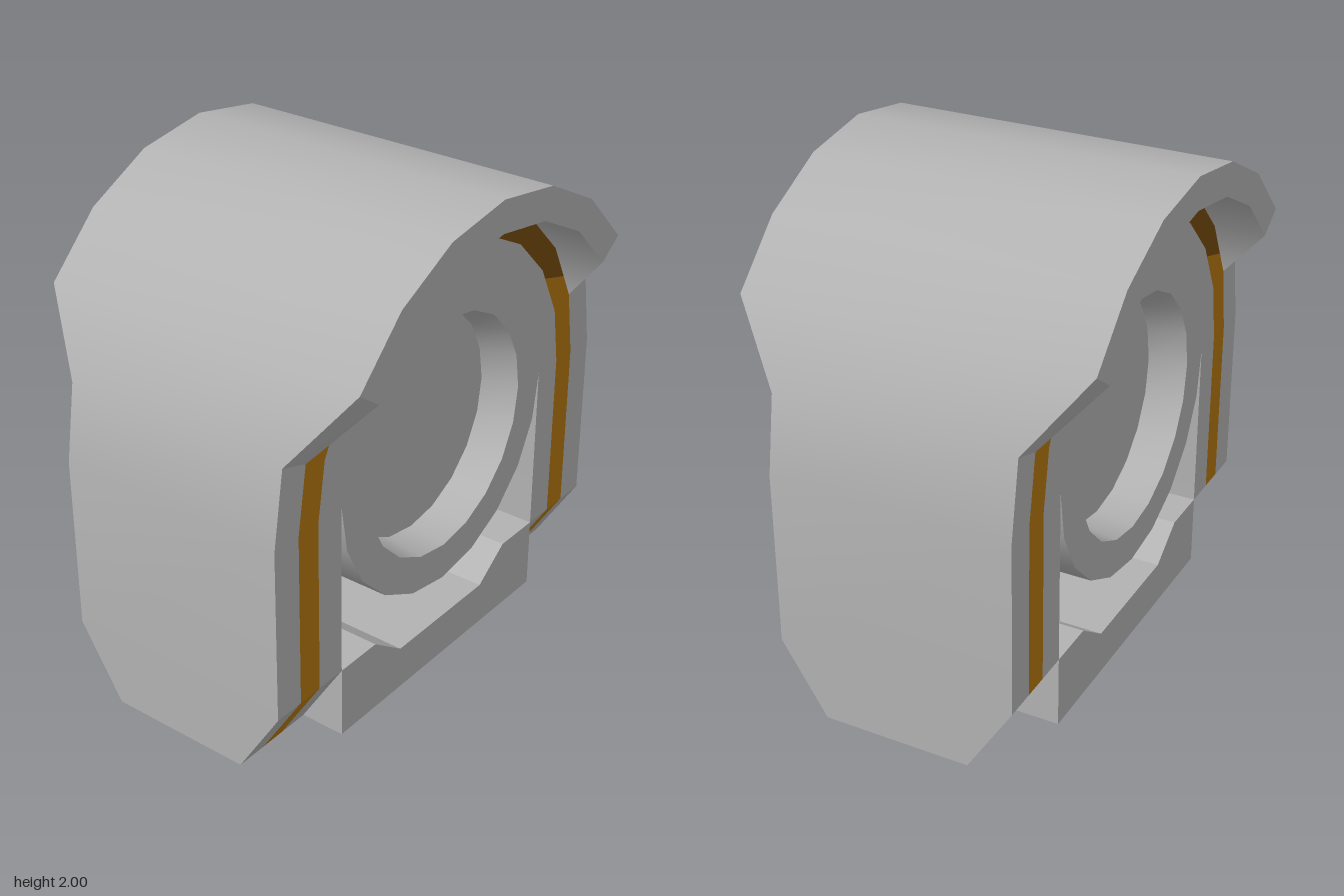
import * as THREE from 'three';
import { toCreasedNormals } from 'three/addons/utils/BufferGeometryUtils.js';

const STEP = 18;        // arch facet in degrees
const DEPTH = 0.485;    // half depth of the body
const HOOD = 0.695;     // half depth of the hood
const FOOT = 0.30;      // half depth at the bottom of the legs
const R = { outer: 1, stripeOut: 0.872, stripeIn: 0.765, core: 0.635 };

// Point on the faceted arch at any angle, centred on (0, 1)
function archPoint(r, deg) {
  const k = Math.floor(deg / STEP + 1e-6), t = deg / STEP - k;
  const at = i => new THREE.Vector2(Math.cos(i * STEP * Math.PI / 180), Math.sin(i * STEP * Math.PI / 180));
  const p = at(k).lerp(at(k + 1), t).multiplyScalar(r);
  p.y += 1;
  return p;
}

// Sweeps a rectangular section through stations { outer, inner, y, z }
function band(rOut, rIn, stations) {
  const pos = [], idx = [];
  for (const s of stations) {
    const o = archPoint(rOut, s.outer), n = archPoint(rIn, s.inner);
    if (s.y !== undefined) o.y = n.y = s.y;
    pos.push(o.x, o.y, s.z, o.x, o.y, -s.z, n.x, n.y, -s.z, n.x, n.y, s.z);
  }
  const last = (stations.length - 1) * 4;
  for (let i = 0; i < last; i += 4) {
    for (let j = 0; j < 4; j++) {
      const a = i + j, b = i + (j + 1) % 4;
      idx.push(a, b, b + 4, a, b + 4, a + 4);
    }
  }
  idx.push(2, 1, 0, 3, 2, 0, last, last + 1, last + 2, last, last + 2, last + 3);
  const g = new THREE.BufferGeometry();
  g.setAttribute('position', new THREE.Float32BufferAttribute(pos, 3));
  g.setIndex(idx);
  return toCreasedNormals(g, 0.4);
}

const station = (a, z = DEPTH, y) => ({ outer: a, inner: a, z, y });
const rightLeg = [station(0, FOOT, 0), station(0, DEPTH, 0.295), station(0)];
const leftLeg = [station(180), station(180, DEPTH, 0.295), station(180, FOOT, 0)];

// Stations for the facets between two angles
function arc(from, to, depthAt = () => DEPTH) {
  const list = [];
  for (let a = from; a <= to; a += STEP) list.push(station(a, depthAt(a)));
  return list;
}

export function createModel() {
  const model = new THREE.Group();
  const grey = new THREE.MeshStandardMaterial({ name: 'grey', color: 0xb2b2b2 });
  const orange = new THREE.MeshStandardMaterial({ name: 'orange', color: 0xb47710 });
  const darkOrange = new THREE.MeshStandardMaterial({ name: 'darkOrange', color: 0x74490c });
  const add = (name, geometry, material) => {
    const mesh = new THREE.Mesh(geometry, material);
    mesh.name = name;
    model.add(mesh);
    return mesh;
  };

  // Outer shell, which overhangs front and back as a hood
  const hoodDepth = a => (a >= 36 && a <= 144 ? HOOD : DEPTH);
  add('outerShell', band(R.outer, R.stripeOut, [...rightLeg, ...arc(18, 162, hoodDepth), ...leftLeg]), grey);

  // Inner shell and legs
  add('innerShell', band(R.stripeIn, R.core, [...rightLeg, ...arc(18, 162), ...leftLeg]), grey);

  // Stripe: bright on the sides, dark under the hood
  const endRight = { outer: 25.2, inner: 32.4, z: DEPTH };
  const endLeft = { outer: 154.8, inner: 147.6, z: DEPTH };
  add('leftStripe', band(R.stripeOut, R.stripeIn, [...rightLeg, station(18), endRight]), orange);
  add('rightStripe', band(R.stripeOut, R.stripeIn, [endLeft, station(162), ...leftLeg]), orange);
  add('hoodStripe', band(R.stripeOut, R.stripeIn, [endRight, ...arc(36, 144), endLeft]), darkOrange);

  // Round core with a shallow dish in both ends
  const profile = [
    [0, -0.33], [0.46, -0.33], [0.485, -DEPTH], [R.core, -DEPTH],
    [R.core, DEPTH], [0.485, DEPTH], [0.46, 0.33], [0, 0.33],
  ].map(([x, y]) => new THREE.Vector2(x, y));
  const core = new THREE.LatheGeometry(profile, 20);
  core.rotateX(Math.PI / 2);
  add('core', toCreasedNormals(core, 0.4), grey).position.y = 1;

  // Base slab with a sunken channel between the legs
  const slab = new THREE.Shape([
    [-R.core, 0], [R.core, 0], [R.core, 0.295], [0.43, 0.295],
    [0.27, 0.18], [-0.27, 0.18], [-0.43, 0.295], [-R.core, 0.295],
  ].map(([x, y]) => new THREE.Vector2(x, y)));
  const base = new THREE.ExtrudeGeometry(slab, { depth: DEPTH * 2, bevelEnabled: false });
  base.translate(0, 0, -DEPTH);
  add('baseSlab', base, grey);

  return model;
}
